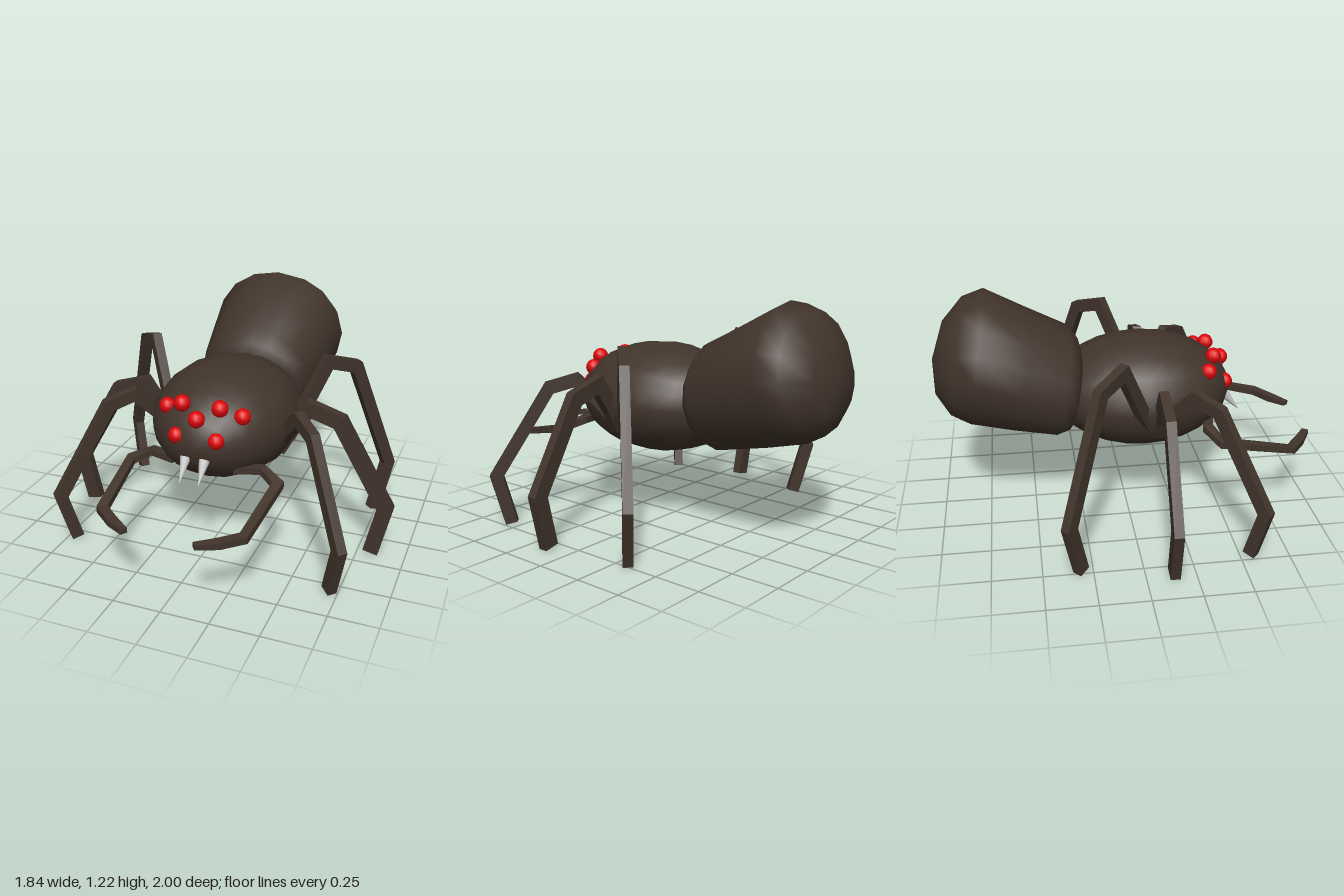
import * as THREE from 'three';
import { mergeVertices } from 'three/addons/utils/BufferGeometryUtils.js';

const V = (x, y, z) => new THREE.Vector3(x, y, z);
const brown = new THREE.MeshStandardMaterial({ color: 0x41342b });
const brownFlat = new THREE.MeshStandardMaterial({ color: 0x41342b, flatShading: true });
const red = new THREE.MeshStandardMaterial({ color: 0xdd0508 });
const grey = new THREE.MeshStandardMaterial({ color: 0xcccccc });

// Skin a list of rings (each an equal-length loop of points) and cap both ends
function loft(rings, smooth) {
  const n = rings[0].length, last = (rings.length - 1) * n, index = [];
  for (let i = 0; i < rings.length - 1; i++) {
    for (let k = 0; k < n; k++) {
      const a = i * n + k, b = i * n + (k + 1) % n;
      index.push(a, b, b + n, a, b + n, a + n);
    }
  }
  for (let k = 1; k < n - 1; k++) {
    index.push(0, k + 1, k, last, last + k, last + k + 1);
  }
  let geo = new THREE.BufferGeometry().setFromPoints(rings.flat());
  geo.setIndex(index);
  geo = smooth ? mergeVertices(geo, 1e-5) : geo.toNonIndexed();
  geo.computeVertexNormals();
  return geo;
}

// Rectangular bar with mitred joints; s is the constant width direction
function bar(points, s, width, depth, tip = 1) {
  const rings = points.map((p, i) => {
    const a = points[Math.max(i - 1, 0)], b = points[Math.min(i + 1, points.length - 1)];
    const tIn = (i ? p.clone().sub(a) : b.clone().sub(p)).normalize();
    const tOut = (b === p ? tIn.clone() : b.clone().sub(p)).normalize();
    const t = tIn.clone().add(tOut).normalize();
    const k = i === points.length - 1 ? tip : 1;
    const n = t.clone().cross(s).normalize().multiplyScalar(k * depth / 2 / Math.max(t.dot(tIn), 0.6));
    const w = s.clone().normalize().multiplyScalar(k * width / 2);
    return [[1, 1], [-1, 1], [-1, -1], [1, -1]].map(([u, v]) =>
      p.clone().addScaledVector(w, u).addScaledVector(n, v));
  });
  return loft(rings, false);
}

export function createModel() {
  const model = new THREE.Group();
  const add = (name, geo, mat, pos) => {
    const mesh = new THREE.Mesh(geo, mat);
    mesh.name = name;
    if (pos) mesh.position.copy(pos);
    model.add(mesh);
    return mesh;
  };

  // Head and thorax in one ellipsoid, poles along z
  const thorax = new THREE.SphereGeometry(1, 20, 14).rotateX(Math.PI / 2).scale(0.385, 0.296, 0.48);
  add('thorax', thorax, brown, V(0, 0.665, 0.09));

  // Abdomen: leaning elliptical rings as [y, z, half width, half height]
  const lean = 0.16, sides = 16;
  const abdomen = [
    [0.69, -0.235, 0, 0], [0.69, -0.25, 0.23, 0.18], [0.70, -0.28, 0.285, 0.25],
    [0.722, -0.33, 0.322, 0.292], [0.80, -0.55, 0.357, 0.322], [0.885, -0.77, 0.388, 0.35],
    [0.893, -0.875, 0.34, 0.304], [0.888, -0.965, 0.19, 0.19], [0.88, -1, 0, 0],
  ].map(([y, z, w, h]) => Array.from({ length: sides }, (_, k) => {
    const a = k / sides * Math.PI * 2, up = -Math.sin(a) * h;
    return V(Math.cos(a) * w, y + up * Math.cos(lean), z + up * Math.sin(lean));
  }));
  add('abdomen', loft(abdomen, true), brown);

  // Legs: [x, y] path from hip to foot, running along z = z0 + slope * x
  const legs = [
    ['frontLeg', -0.15, 1, [[0.3, 0.55], [0.36, 0.66], [0.45, 0.79], [0.55, 0.75], [0.755, 0.28], [0.705, 0.02]]],
    ['middleLeg', 0.14, 0, [[0.3, 0.53], [0.36, 0.64], [0.46, 0.785], [0.62, 0.735], [0.88, 0.29], [0.82, 0.02]]],
    ['backLeg', 0.42, -1, [[0.33, 0.58], [0.37, 0.67], [0.49, 0.965], [0.61, 0.915], [0.785, 0.3], [0.73, 0.02]]],
  ];
  for (const [sideName, side] of [['left', 1], ['right', -1]]) {
    const title = (s) => sideName + s[0].toUpperCase() + s.slice(1);
    for (const [name, z0, slope, path] of legs) {
      const points = path.map(([x, y]) => V(side * x, y, z0 + slope * x));
      add(title(name), bar(points, V(-side * slope, 0, 1), 0.05, slope ? 0.065 : 0.08), brownFlat);
    }

    // Feelers curling forward from under the head
    const feeler = [[0.16, 0.53, 0.44], [0.3, 0.535, 0.405], [0.4, 0.495, 0.46],
      [0.365, 0.412, 0.845], [0.27, 0.405, 0.92], [0.175, 0.41, 0.985]];
    add(title('feeler'), bar(feeler.map(([x, y, z]) => V(side * x, y, z)), V(0, 1, 0), 0.035, 0.05, 0.7), brownFlat);

    // Fangs
    const fang = new THREE.ConeGeometry(0.028, 0.135, 10);
    const dir = V(0, -0.76, 0.65).normalize();
    add(title('fang'), fang, grey, V(side * 0.05, 0.557, 0.593))
      .quaternion.setFromUnitVectors(V(0, 1, 0), dir);
  }

  // Eyes: one central, the rest mirrored
  const eyes = [[0, 0.81, 0.525]];
  for (const s of [1, -1]) {
    eyes.push([s * 0.1, 0.858, 0.465], [s * 0.2, 0.812, 0.42], [s * 0.105, 0.713, 0.53]);
  }
  const eyeGeo = new THREE.SphereGeometry(0.043, 10, 8);
  eyes.forEach((p, i) => add('eye' + (i + 1), eyeGeo, red, V(...p)));

  return model;
}
